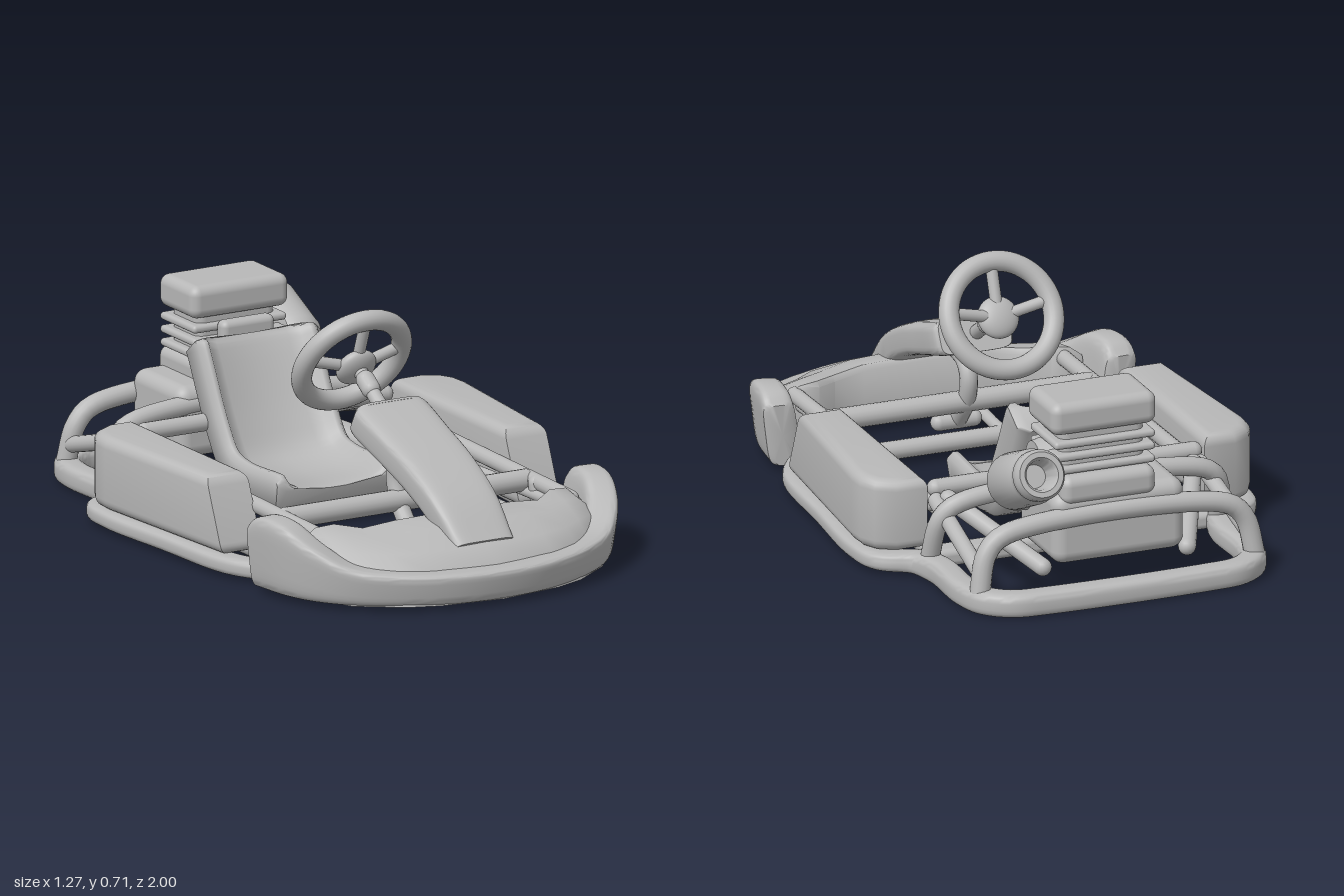
import * as THREE from 'three';
import { toCreasedNormals } from 'three/addons/utils/BufferGeometryUtils.js';
import { RoundedBoxGeometry } from 'three/addons/geometries/RoundedBoxGeometry.js';

const V = (x, y, z) => new THREE.Vector3(x, y, z);

export function createModel() {
  const kart = new THREE.Group();
  kart.name = 'goKart';
  const grey = new THREE.MeshStandardMaterial({ color: 0xb8b8b8 });
  grey.name = 'grey';

  function add(name, geo, x = 0, y = 0, z = 0, parent = kart) {
    const m = new THREE.Mesh(geo, grey);
    m.name = name;
    m.position.set(x, y, z);
    parent.add(m);
    return m;
  }
  const box = (name, w, h, d, x, y, z, r = 0.02) =>
    add(name, new RoundedBoxGeometry(w, h, d, 4, r), x, y, z);

  // Bent pipe with rounded ends
  function pipe(name, pts, r, parent = kart) {
    const p = pts.map(a => V(...a));
    const curve = p.length === 2 ? new THREE.LineCurve3(...p) : new THREE.CatmullRomCurve3(p, false, 'centripetal');
    const g = new THREE.Group();
    g.name = name;
    parent.add(g);
    add(name + 'Tube', new THREE.TubeGeometry(curve, p.length === 2 ? 1 : p.length * 8, r, 16), 0, 0, 0, g);
    for (const e of [p[0], p[p.length - 1]])
      add(name + 'End', new THREE.SphereGeometry(r, 16, 10), e.x, e.y, e.z, g);
  }
  const mirror = pts => pts.map(([x, ...r]) => [-x, ...r]);
  // The same pipe on both sides
  function pipePair(name, pts, r) {
    pipe(name + 'Left', pts, r);
    pipe(name + 'Right', mirror(pts), r);
  }

  // Capped solid through a row of cross-sections
  function loft(rings, crease = 0.7) {
    const n = rings[0].length, pos = [], idx = [];
    for (const ring of rings) for (const p of ring) pos.push(p.x, p.y, p.z);
    for (let i = 0; i < rings.length - 1; i++)
      for (let j = 0; j < n; j++) {
        const a = i * n + j, b = i * n + (j + 1) % n;
        idx.push(a, b, a + n, b, b + n, a + n);
      }
    for (const k of [0, rings.length - 1]) {
      const c = rings[k].reduce((s, p) => s.add(p), V(0, 0, 0)).divideScalar(n);
      const ci = pos.length / 3;
      pos.push(c.x, c.y, c.z);
      for (let j = 0; j < n; j++) {
        const a = k * n + j, b = k * n + (j + 1) % n;
        k === 0 ? idx.push(ci, b, a) : idx.push(ci, a, b);
      }
    }
    // Turn the faces outward
    const P = i => V(pos[3 * i], pos[3 * i + 1], pos[3 * i + 2]);
    let vol = 0;
    for (let i = 0; i < idx.length; i += 3) vol += P(idx[i]).dot(P(idx[i + 1]).cross(P(idx[i + 2])));
    if (vol < 0) idx.reverse();
    const g = new THREE.BufferGeometry();
    g.setAttribute('position', new THREE.Float32BufferAttribute(pos, 3));
    g.setIndex(idx);
    return toCreasedNormals(g, crease);
  }
  // Soft-cornered rectangle as a list of [u, v]
  function softRect(w, h, e = 0.3, n = 32) {
    const f = t => Math.sign(t) * Math.pow(Math.abs(t), e);
    return Array.from({ length: n }, (_, i) => {
      const a = (i + 0.5) / n * Math.PI * 2;
      return [w * f(Math.cos(a)), h * f(Math.sin(a))];
    });
  }
  // Smooth path sampled into steps
  const smooth = (pts, n) => new THREE.CatmullRomCurve3(pts.map(p => V(...p)), false, 'centripetal').getPoints(n);
  const tangent = (a, i) => a[Math.min(i + 1, a.length - 1)].clone().sub(a[Math.max(i - 1, 0)]);
  // Sweep round a plan path; sections give [sideways offset, height]
  const sweepFlat = (path, section) => loft(path.map((p, i) => {
    const t = tangent(path, i).setY(0).normalize(), out = V(t.z, 0, -t.x);
    return section(p, i).map(([u, v]) => p.clone().addScaledVector(out, u).setY(v));
  }));

  // Lower perimeter bar: thicker rear loop flaring out under the side pods
  const half = [[0.43, 0.47], [0.5, 0.4], [0.55, 0.3], [0.575, 0], [0.596, -0.3], [0.575, -0.41],
    [0.485, -0.47], [0.452, -0.56], [0.45, -0.76], [0.425, -0.85], [0.36, -0.903], [0.25, -0.917]].map(([x, z]) => [x, 0.042, z]);
  const barSection = softRect(0.041, 1, 0.6, 24);
  add('perimeterBar', sweepFlat(smooth([...half, ...mirror(half).reverse()], 160), p => {
    const h = THREE.MathUtils.lerp(0.037, 0.027, THREE.MathUtils.smoothstep(p.z, -0.55, -0.4));
    return barSection.map(([u, v]) => [u, p.y + h * v]);
  }));

  // Chassis rails and cross tubes
  pipePair('lowerRail', [[0.42, 0.05, -0.46], [0.425, 0.05, 0.62]], 0.026);
  pipePair('upperRail', [[0.42, 0.2, -0.42], [0.425, 0.18, 0.62]], 0.024);
  pipe('brakeRod', [[0.375, 0.15, -0.38], [0.415, 0.15, 0.6]], 0.017);
  pipe('lowerFrontCrossTube', [[-0.42, 0.05, 0.4], [0.42, 0.05, 0.4]], 0.028);
  box('lowerRearCrossBar', 0.92, 0.055, 0.08, 0, 0.045, -0.455, 0.02);
  pipe('frontCrossTube', [[-0.41, 0.18, 0.38], [0.41, 0.18, 0.38]], 0.033);
  pipe('rearAxleTube', [[-0.41, 0.25, -0.43], [0.41, 0.25, -0.43]], 0.027);
  pipePair('frontUpright', [[0.43, 0.05, 0.46], [0.42, 0.18, 0.43]], 0.026);

  // Rear hoops and braces
  pipe('middleHoop', [[-0.46, 0.05, -0.5], [-0.44, 0.2, -0.545], [-0.38, 0.245, -0.555],
    [0.38, 0.245, -0.555], [0.44, 0.2, -0.545], [0.46, 0.05, -0.5]], 0.029);
  pipe('rearHoop', [[-0.44, 0.05, -0.84], [-0.41, 0.18, -0.825], [-0.35, 0.23, -0.822],
    [0.35, 0.23, -0.822], [0.41, 0.18, -0.825], [0.44, 0.05, -0.84]], 0.031);
  pipePair('rearBrace', [[0.39, 0.23, -0.48], [0.23, 0.11, -0.82]], 0.027);
  pipePair('rearSideBrace', [[0.42, 0.22, -0.46], [0.43, 0.12, -0.82]], 0.025);

  // Side pods with a sloping front
  for (const s of [1, -1]) {
    const b = 0.034;
    const outline = [[0.475, -0.41], [0.53, -0.41], [0.57, -0.385], [0.588, -0.35], [0.591, -0.3], [0.548, 0.262], [0.475, 0.262]];
    const shape = new THREE.Shape(outline.map(([x, z]) => new THREE.Vector2(s * x, -z)));
    const g = new THREE.ExtrudeGeometry(shape, { depth: 0.225 - 2 * b, bevelSize: b, bevelThickness: b, bevelSegments: 6 });
    g.rotateX(-Math.PI / 2).translate(0, 0.067 + b, 0);
    const p = g.attributes.position;
    for (let i = 0; i < p.count; i++)
      if (p.getZ(i) > 0.1) p.setZ(i, p.getZ(i) - (p.getY(i) - 0.08) * 0.42);
    add(s > 0 ? 'sidePodLeft' : 'sidePodRight', toCreasedNormals(g, 0.8));
  }

  // Front bumper wrapping round the nose: path holds x, top height, z
  const side = [[0.575, 0.21, 0.48], [0.572, 0.243, 0.52], [0.556, 0.243, 0.63], [0.515, 0.195, 0.73],
    [0.43, 0.137, 0.83], [0.3, 0.122, 0.915], [0.15, 0.119, 0.97]];
  const bumperPath = smooth([...side, [0, 0.118, 0.985], ...mirror(side).reverse()], 60);
  for (const p of bumperPath) p.x -= 0.015;
  add('frontBumper', sweepFlat(bumperPath, (p, i) => {
    const end = i === 0 || i === 60 ? 0.7 : 1, h = (p.y - 0.02) / 2;
    return softRect(0.05 * end, h, 0.4).map(([u, v]) => [u - 0.038 + 0.012 * v / h, 0.02 + h + v]);
  }));

  // Nose tray inside the bumper: x, inner z, outer z, inner height
  const tray = [[0.47, 0.6, 0.72, 0.18], [0.43, 0.595, 0.8, 0.21], [0.37, 0.6, 0.84, 0.215],
    [0.3, 0.65, 0.89, 0.205], [0.2, 0.665, 0.925, 0.218], [0, 0.67, 0.95, 0.223]];
  add('noseTray', loft([...tray, ...mirror(tray.slice(0, -1)).reverse()].map(([x, zi, zo, y]) => {
    const m = (k, yy) => V(x - 0.015, yy, zi + (zo - zi) * k);
    return [m(0, 0.055), m(0, y - 0.015), m(0.06, y), m(0.4, y - 0.014), m(0.75, 0.162), m(1, 0.112), m(1.1, 0.021), m(0.5, 0.028)];
  }), 0.9));

  // Steering fairing: curved panel falling to the nose; spine is half width, y, z
  const spine = smooth([[0.112, 0.424, 0.29], [0.122, 0.416, 0.305], [0.12, 0.365, 0.45], [0.117, 0.318, 0.58],
    [0.11, 0.24, 0.73], [0.1, 0.14, 0.84]], 18);
  add('steeringFairing', loft(spine.map((p, i) => {
    const t = tangent(spine, i).setX(0).normalize();
    return softRect(p.x, 0.055 - i * 0.0005, 0.38).map(([u, v]) => V(u - 0.013, p.y + t.z * v, p.z - t.y * v));
  })));

  // Steering column and its bent support
  pipe('steeringColumn', [[-0.02, 0.535, 0.13], [-0.02, 0.37, 0.38]], 0.022);
  pipe('columnCollar', [[-0.02, 0.5, 0.185], [-0.02, 0.48, 0.215]], 0.029);
  pipe('columnSupport', [[-0.02, 0.1, 0.44], [-0.02, 0.18, 0.375], [-0.02, 0.26, 0.355], [-0.02, 0.305, 0.385], [-0.02, 0.32, 0.47]], 0.027);
  pipe('supportFoot', [[-0.07, 0.1, 0.44], [0.04, 0.1, 0.44]], 0.026);
  pipe('floorStay', [[-0.145, 0.06, 0.4], [-0.13, 0.09, 0.7]], 0.018);

  // Steering wheel
  const wheel = new THREE.Group();
  wheel.name = 'steeringWheel';
  wheel.position.set(-0.022, 0.543, 0.108);
  wheel.rotation.x = 0.54;
  kart.add(wheel);
  add('wheelRim', new THREE.TorusGeometry(0.164, 0.031, 20, 56), 0, 0, 0, wheel);
  add('wheelHub', new THREE.SphereGeometry(0.064, 32, 20), 0, 0, 0.03, wheel).scale.z = 0.5;
  for (const a of [0, 1.4, -1.4])
    pipe('wheelSpoke', [[0, 0, 0.03], [0.16 * Math.sin(a), 0.16 * Math.cos(a), 0]], 0.018, wheel);

  // Bucket seat: side bolsters rising from a cushion that curves into the backrest
  const seatPath = smooth([[0, 0.13, 0.005], [0, 0.135, -0.02], [0, 0.13, -0.2], [0, 0.155, -0.3],
    [0, 0.25, -0.375], [0, 0.455, -0.485], [0, 0.478, -0.502]], 28);
  add('seat', loft(seatPath.map((p, i) => {
    const t = tangent(seatPath, i).normalize();
    const n = V(0, -t.z, t.y), end = Math.min(i, 28 - i);
    const w = [0.86, 0.95][end] ?? 1, h = 0.05 * Math.min(1, 0.3 + end / 5), d = end === 0 ? 0.045 : 0.068;
    const section = [[-0.205, 0.7 * h], [-0.19, h], [-0.175, h], [-0.155, 0.4 * h], [-0.12, 0.05 * h], [0, 0],
      [0.12, 0.05 * h], [0.155, 0.4 * h], [0.175, h], [0.19, h], [0.205, 0.7 * h], [0.2, -0.7 * d], [0.17, -d], [-0.17, -d], [-0.2, -0.7 * d]];
    return section.map(([u, v]) => p.clone().addScaledVector(n, v).setX(u * w - 0.008));
  }), 1.0));

  // Engine: crankcase, finned cylinder, head and carburettor
  box('crankcase', 0.42, 0.22, 0.29, -0.015, 0.215, -0.685, 0.04);
  box('crankcaseTop', 0.3, 0.09, 0.25, 0.02, 0.335, -0.71, 0.03);
  box('cylinderBarrel', 0.27, 0.18, 0.16, 0.025, 0.44, -0.71, 0.03);
  for (const y of [0.395, 0.435, 0.475]) box('coolingFin', 0.32, 0.024, 0.2, 0.025, y, -0.71, 0.011);
  box('cylinderHead', 0.335, 0.1, 0.21, 0.027, 0.555, -0.71, 0.03);
  box('carburettor', 0.18, 0.14, 0.05, 0.03, 0.43, -0.59, 0.02);
  const cover = add('crankCover', new THREE.CylinderGeometry(0.06, 0.07, 0.05, 32), 0.185, 0.4, -0.7);
  cover.rotation.z = -Math.PI / 2;

  // Exhaust pipe and hollow silencer
  pipe('exhaustPipe', [[0.17, 0.25, -0.61], [0.23, 0.25, -0.6], [0.265, 0.28, -0.63], [0.28, 0.36, -0.73]], 0.036);
  const profile = [[0, 0], [0.055, 0], [0.078, 0.012], [0.086, 0.035], [0.084, 0.205], [0.077, 0.23], [0.074, 0.242],
    [0.077, 0.25], [0.077, 0.275], [0.068, 0.292], [0.052, 0.292], [0.044, 0.28], [0.035, 0.22], [0, 0.22]];
  const silencer = add('silencer', toCreasedNormals(
    new THREE.LatheGeometry(profile.map(p => new THREE.Vector2(...p)), 36), 0.7), 0.284, 0.346, -0.705);
  silencer.quaternion.setFromUnitVectors(V(0, 1, 0), V(0.012, 0.115, -0.265).normalize());

  return kart;
}
